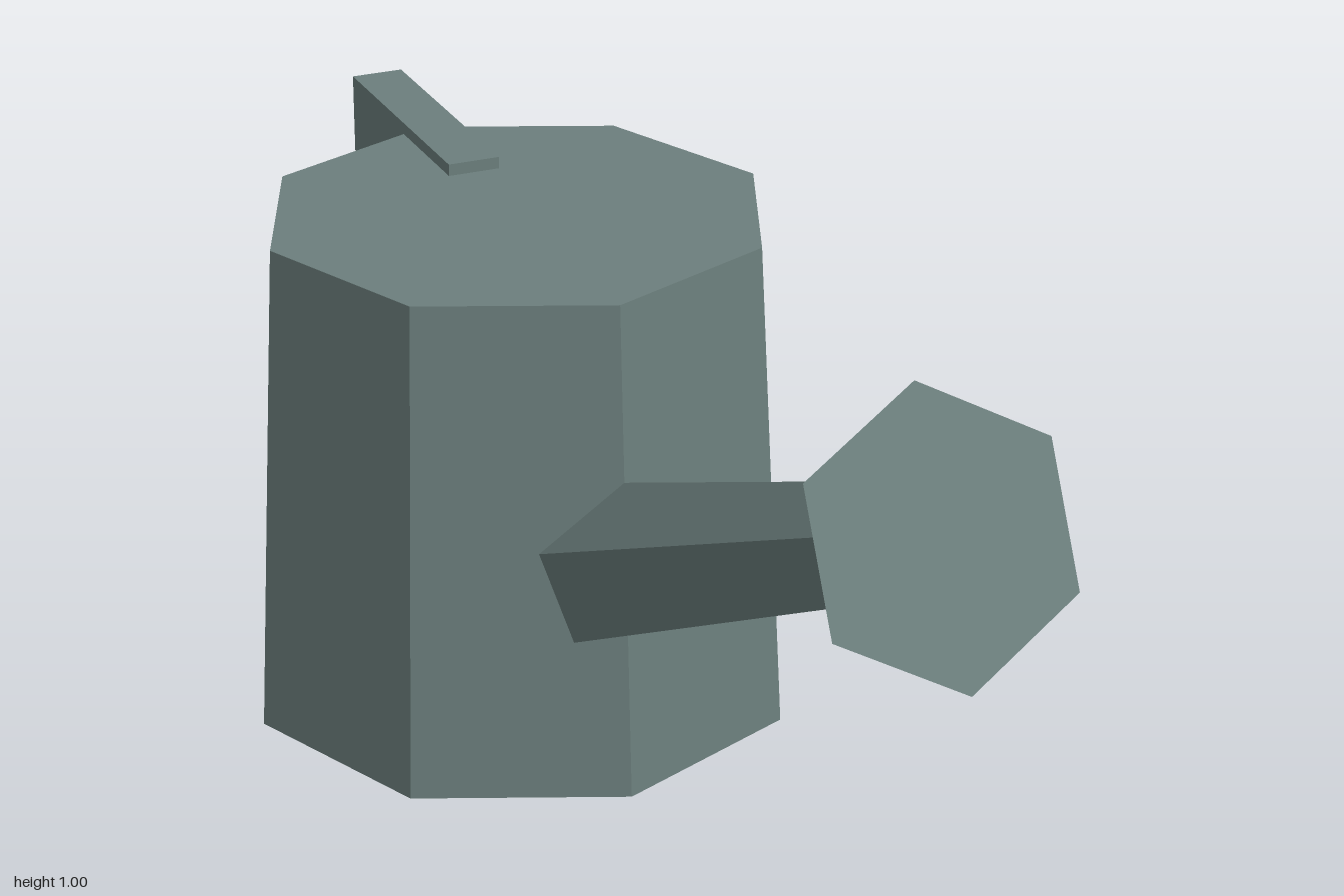
import * as THREE from 'three';

export function createModel() {
  const group = new THREE.Group();
  group.name = 'wateringCan';
  const metal = new THREE.MeshStandardMaterial({ color: 0x6c7f7d, flatShading: true });
  metal.name = 'greyGreenMetal';

  function add(name, geometry) {
    const mesh = new THREE.Mesh(geometry, metal);
    mesh.name = name;
    group.add(mesh);
    return mesh;
  }

  // Tapered prism between two points of the x = 0 plane, one corner facing up
  function prism(name, sides, [z0, y0], r0, [z1, y1], r1) {
    const length = Math.hypot(z1 - z0, y1 - y0);
    const geometry = new THREE.CylinderGeometry(r1, r0, length, sides);
    geometry.rotateY(Math.PI);
    geometry.rotateX(Math.PI / 2 - Math.atan2(y1 - y0, z1 - z0));
    add(name, geometry).position.set(0, (y0 + y1) / 2, (z0 + z1) / 2);
  }

  // Eight-sided tapered body
  add('body', new THREE.CylinderGeometry(0.377, 0.417, 0.755, 8)).position.set(0, 0.3775, -0.415);

  // Five-sided spout, starting inside the body
  prism('spout', 5, [-0.134, 0.308], 0.123, [0.77, 0.757], 0.079);

  // Six-sided flared sprinkler head
  prism('sprinklerHead', 6, [0.766, 0.757], 0.08, [0.915, 0.8325], 0.188);

  // Straight bar handle at the back rim
  add('handle', new THREE.BoxGeometry(0.08, 0.123, 0.415)).position.set(0, 0.7115, -0.7925);

  return group;
}
